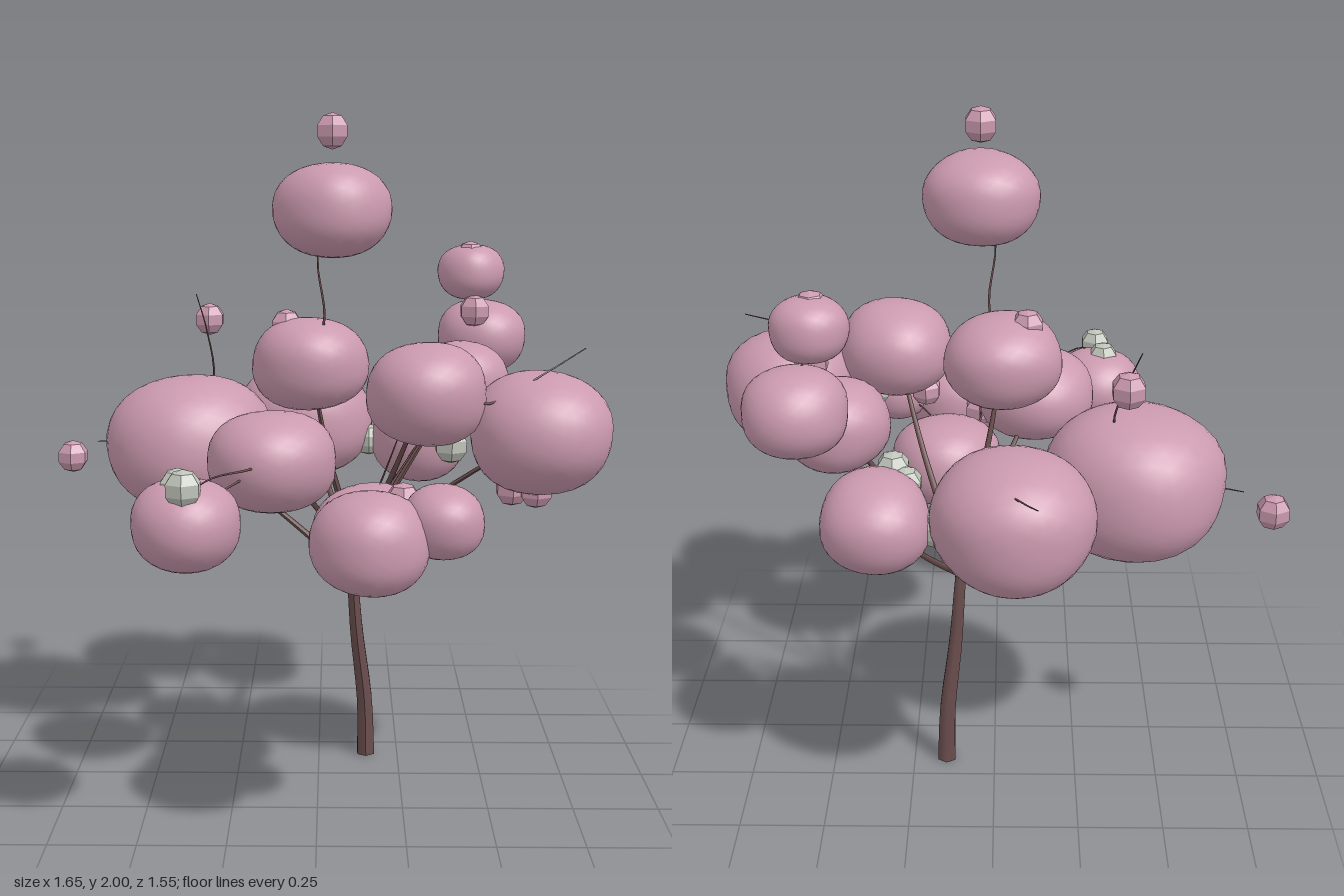
import * as THREE from 'three';
import { mergeVertices } from 'three/addons/utils/BufferGeometryUtils.js';

const V = (p) => new THREE.Vector3(...p);

// Tube along a smooth curve, narrowing from r0 to r1
function taperedTube(points, r0, r1, sides, steps) {
  const curve = new THREE.CatmullRomCurve3(points.map(V));
  const geo = new THREE.TubeGeometry(curve, steps, 1, sides);
  const pos = geo.attributes.position, v = new THREE.Vector3();
  for (let i = 0; i < pos.count; i++) {
    const t = Math.floor(i / (sides + 1)) / steps;
    const c = curve.getPointAt(t);
    v.fromBufferAttribute(pos, i).sub(c).multiplyScalar(r0 + (r1 - r0) * t).add(c);
    pos.setXYZ(i, v.x, v.y, v.z);
  }
  geo.computeVertexNormals();
  return geo;
}

// Gently lumpy, full-shouldered ball of blossom
function puffGeometry(rx, ry, rz, seed) {
  let geo = new THREE.IcosahedronGeometry(1, 5);
  geo.deleteAttribute('normal');
  geo.deleteAttribute('uv');
  geo = mergeVertices(geo, 1e-4);
  const pos = geo.attributes.position, v = new THREE.Vector3();
  for (let i = 0; i < pos.count; i++) {
    v.fromBufferAttribute(pos, i);
    const side = Math.hypot(v.x, v.z);
    const full = Math.pow(side ** 2.3 + Math.abs(v.y) ** 2.3, -1 / 2.3);
    const lump = 1 + 0.022 * Math.sin(3 * v.x + seed * 2.1) * Math.cos(2.6 * v.z + seed)
      + 0.014 * Math.sin(4 * v.y + 3 * v.z + seed * 1.7);
    v.multiplyScalar(full * lump);
    pos.setXYZ(i, v.x * rx, v.y * ry, v.z * rz);
  }
  geo.computeVertexNormals();
  return geo;
}

export function createModel() {
  const tree = new THREE.Group();
  tree.name = 'blossomTree';
  const mat = (name, color, flatShading = false) => {
    const m = new THREE.MeshStandardMaterial({ color, flatShading });
    m.name = name;
    return m;
  };
  const pink = mat('blossomPink', 0xcb9aae);
  const bark = mat('barkBrown', 0x6b4e4e);
  const grey = mat('budGrey', 0xbfc3b9);
  const add = (name, geo, material, p = [0, 0, 0]) => {
    const mesh = new THREE.Mesh(geo, material);
    mesh.name = name;
    mesh.position.set(...p);
    tree.add(mesh);
  };

  // Blossom clusters: centre and radii
  const puffs = {
    A: [[-0.4, 1.0, -0.205], [0.258, 0.213, 0.256]],
    B: [[-0.053, 1.03, -0.51], [0.224, 0.187, 0.222]],
    C: [[0.32, 0.98, -0.43], [0.152, 0.136, 0.163]],
    D: [[0.52, 1.31, -0.437], [0.141, 0.117, 0.143]],
    E: [[0.477, 1.52, -0.385], [0.103, 0.088, 0.1]],
    F: [[0.438, 1.19, -0.252], [0.15, 0.127, 0.147]],
    G: [[0.302, 1.228, 0.24], [0.169, 0.141, 0.172]],
    H: [[0.628, 1.113, 0.205], [0.202, 0.17, 0.205]],
    I: [[0.04, 1.728, 0.122], [0.167, 0.132, 0.167]],
    J: [[-0.022, 1.28, 0], [0.171, 0.135, 0.167]],
    K: [[-0.126, 1.05, 0.305], [0.178, 0.138, 0.178]],
    L: [[0.157, 0.838, 0.27], [0.17, 0.133, 0.175]],
    M: [[0.138, 0.9, 0.625], [0.155, 0.135, 0.156]],
    N: [[0.33, 0.947, 0.58], [0.11, 0.095, 0.12]],
    O: [[-0.334, 0.947, 0.62], [0.143, 0.118, 0.147]],
  };
  Object.values(puffs).forEach(([c, r], i) => add('blossomCluster', puffGeometry(...r, i), pink, c));

  // Small faceted buds
  const bud = new THREE.SphereGeometry(0.051, 6, 5).rotateY(Math.PI / 6);
  const pinkFacet = pink, greyFacet = grey;
  const facets = bud.toNonIndexed();
  facets.computeVertexNormals();
  [
    [0.04, 1.945, 0.08], [-0.783, 0.943, -0.29], [-0.353, 1.366, -0.424], [-0.093, 1.388, -0.01],
    [0.473, 1.567, -0.367], [0.485, 1.403, -0.325], [0.055, 0.925, 0.457], [0.23, 0.98, 0.492],
    [0.555, 0.945, 0.17], [0.62, 0.945, 0.2],
  ].forEach((p) => add('pinkBud', facets, pinkFacet, p));
  [
    [-0.33, 1.06, 0.71], [-0.353, 1.045, 0.62], [0.278, 1.08, -0.304],
    [0.242, 1.05, -0.34], [0.373, 1.085, 0.25], [0.16, 0.97, -0.45],
  ].forEach((p) => add('greyBud', facets, greyFacet, p));

  // Trunk, six-sided and leaning
  add('trunk', taperedTube([[0.15, 0, -0.165], [0.145, 0.18, -0.163], [0.118, 0.42, -0.14],
    [0.103, 0.62, -0.125], [0.09, 0.76, -0.1]], 0.031, 0.016, 6, 12).toNonIndexed(), bark);
  add('trunkFoot', new THREE.CircleGeometry(0.03, 6).rotateX(Math.PI / 2), bark, [0.15, 0.001, -0.165]);

  // Main limbs from the fork into the clusters
  const limbs = [
    ['A', 0.61, 0.012], ['B', 0.65, 0.012], ['C', 0.64, 0.011], ['F', 0.66, 0.013],
    ['G', 0.67, 0.012], ['J', 0.73, 0.014], ['K', 0.68, 0.012], ['L', 0.6, 0.011],
    ['D', 0.7, 0.01], ['H', 0.63, 0.01],
  ];
  limbs.forEach(([key, y, r], i) => {
    const start = V([0.103, y, -0.122]);
    const end = V(puffs[key][0]);
    const mid = start.clone().lerp(end, 0.5);
    mid.y += 0.025 * Math.sin(i * 2.3);
    mid.x += 0.015 * Math.cos(i * 1.7);
    add('limb', taperedTube([start.toArray(), mid.toArray(), end.toArray()], r, 0.005, 6, 10), bark);
  });

  // Fine outer branches and twig tips
  [
    [puffs.J[0], [0.018, 1.42, 0.08], [0.0, 1.6, 0.122], puffs.I[0]],
    [puffs.K[0], [-0.2, 1.03, 0.46], [-0.27, 1.0, 0.54], puffs.O[0]],
    [puffs.K[0], [-0.18, 1.065, 0.5], [-0.27, 1.07, 0.64], [-0.33, 1.04, 0.7]],
    [puffs.L[0], [0.05, 0.93, 0.36], [0.1, 1.0, 0.53], puffs.M[0]],
    [puffs.L[0], [0.2, 0.9, 0.42], puffs.N[0]],
    [puffs.D[0], [0.5, 1.42, -0.4], puffs.E[0]],
    [puffs.G[0], [0.47, 1.21, 0.3], [0.62, 1.285, 0.265], [0.75, 1.35, 0.19]],
    [puffs.B[0], [-0.053, 1.17, -0.66], [-0.09, 1.18, -0.72], [-0.115, 1.195, -0.775]],
    [puffs.A[0], [-0.33, 1.19, -0.26], [-0.355, 1.34, -0.33], [-0.39, 1.45, -0.37]],
    [puffs.A[0], [-0.62, 1.0, -0.25], [-0.7, 0.995, -0.27]],
    [[0.103, 0.68, -0.122], [0.2, 0.9, -0.2], [0.27, 1.06, -0.3]],
  ].forEach((path) => add('twig', taperedTube(path, 0.005, 0.0015, 5, 14), bark));

  return tree;
}
